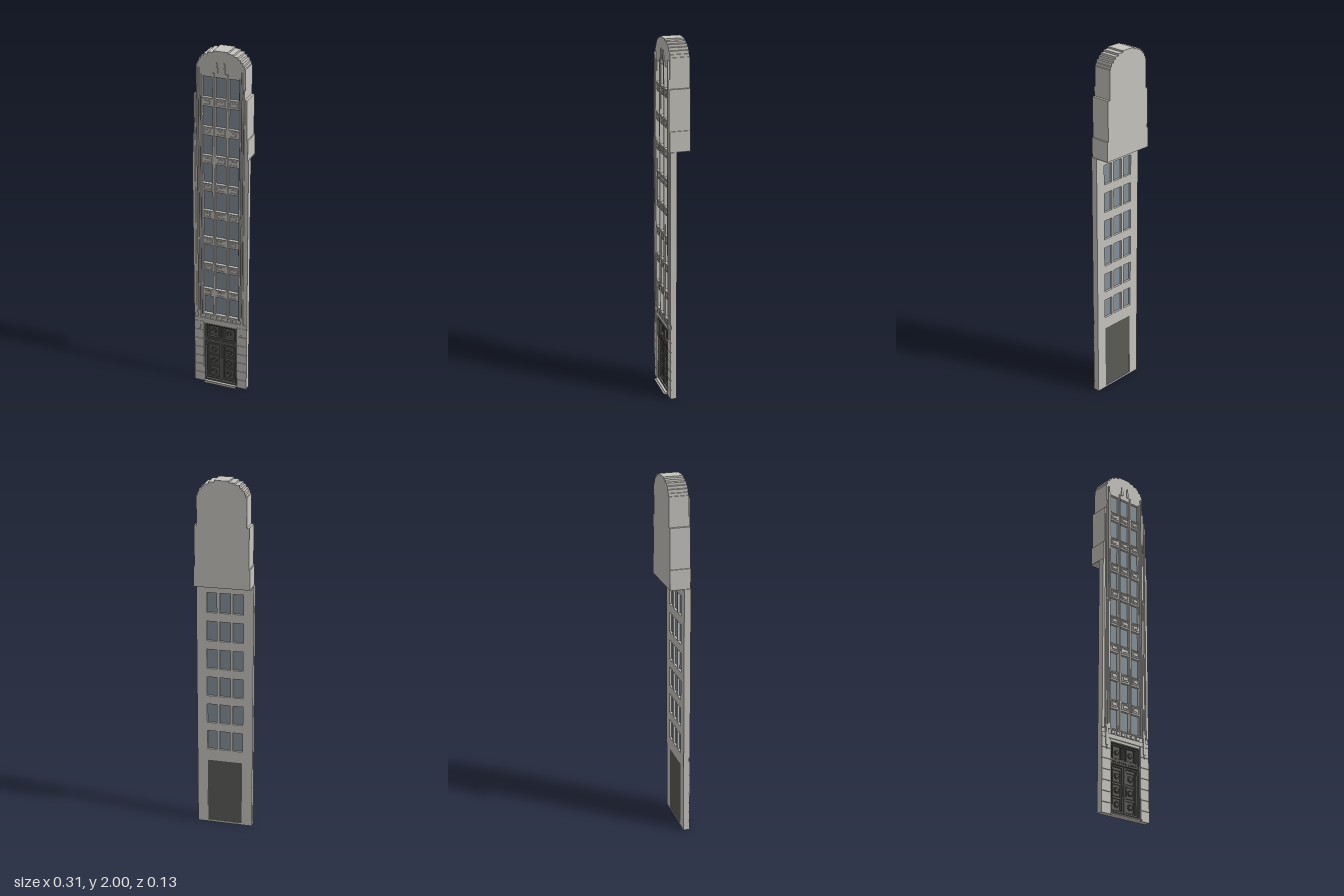
import * as THREE from 'three';

const stone = new THREE.MeshStandardMaterial({ color: 0xc6c4be });
stone.name = 'stone';
const glass = new THREE.MeshStandardMaterial({ color: 0x85919a });
glass.name = 'windowGlass';
const bronze = new THREE.MeshStandardMaterial({ color: 0x5a5c57 });
bronze.name = 'darkBronze';

// Half outline of the tower, from the shoulder to the crown: [half width, height]
const steps = [
  [0.157, 1.43], [0.152, 1.54], [0.146, 1.76], [0.133, 1.92], [0.127, 1.935], [0.12, 1.952],
  [0.107, 1.967], [0.093, 1.98], [0.07, 1.991], [0.04, 2.0],
];

function towerShape(bottom) {
  const right = [[0.157, bottom]];
  steps.forEach(([x, y], i) => {
    if (i > 0) right.push([x, steps[i - 1][1]]);
    right.push([x, y]);
  });
  const left = right.map(([x, y]) => [-x, y]).reverse();
  return new THREE.Shape([...right, ...left].map(([x, y]) => new THREE.Vector2(x, y)));
}

function rectHole(x, y, w, h) {
  const p = new THREE.Path();
  p.moveTo(x - w / 2, y - h / 2);
  p.lineTo(x - w / 2, y + h / 2);
  p.lineTo(x + w / 2, y + h / 2);
  p.lineTo(x + w / 2, y - h / 2);
  p.closePath();
  return p;
}

export function createModel() {
  const model = new THREE.Group();
  model.name = 'tower';

  const add = (name, geometry, material, x = 0, y = 0, z = 0) => {
    const mesh = new THREE.Mesh(geometry, material);
    mesh.name = name;
    mesh.position.set(x, y, z);
    model.add(mesh);
    return mesh;
  };
  // Box given by its limits
  const box = (name, mat, x0, x1, y0, y1, z0, z1) =>
    add(name, new THREE.BoxGeometry(x1 - x0, y1 - y0, z1 - z0), mat,
      (x0 + x1) / 2, (y0 + y1) / 2, (z0 + z1) / 2);
  const pair = (name, mat, x0, x1, ...rest) => {
    box(name, mat, x0, x1, ...rest);
    box(name, mat, -x1, -x0, ...rest);
  };
  // Rectangular frame in the xy plane
  const frame = (name, mat, x, y, w, h, t, z, d) => {
    const s = new THREE.Shape();
    s.moveTo(-w / 2, -h / 2);
    s.lineTo(w / 2, -h / 2);
    s.lineTo(w / 2, h / 2);
    s.lineTo(-w / 2, h / 2);
    s.closePath();
    s.holes.push(rectHole(0, 0, w - 2 * t, h - 2 * t));
    add(name, new THREE.ExtrudeGeometry(s, { depth: d, bevelEnabled: false }), mat, x, y, z);
  };

  const columns = [[-0.073, 0.056], [0, 0.06], [0.073, 0.056]];
  const rows = Array.from({ length: 9 }, (_, i) => 0.515 + i * 0.1612);
  const winH = 0.112;

  // Facade slab pierced by the windows and the entrance
  const facade = towerShape(0);
  for (const y of rows) for (const [x, w] of columns) facade.holes.push(rectHole(x, y, w, winH));
  facade.holes.push(rectHole(0, 0.2, 0.196, 0.38));
  add('facade', new THREE.ExtrudeGeometry(facade, { depth: 0.03, bevelEnabled: false }), stone, 0, 0, 0.01);

  // Deep stepped block behind the top floors
  add('upperBlock', new THREE.ExtrudeGeometry(towerShape(1.43), { depth: 0.075, bevelEnabled: false }),
    stone, 0, 0, -0.065);

  // Windows, sills and spandrel panels
  rows.forEach((y, i) => {
    for (const [x, w] of columns) {
      box('windowGlass', glass, x - w / 2, x + w / 2, y - winH / 2, y + winH / 2, 0.022, 0.026);
      box('windowSill', stone, x - w / 2, x + w / 2, y - winH / 2 - 0.006, y - winH / 2, 0.04, 0.045);
      if (i < 8) {
        frame('spandrelFrame', stone, x, y + 0.0806, w - 0.008, 0.032, 0.004, 0.04, 0.004);
        box('spandrelPanel', stone, x - 0.014, x + 0.014, y + 0.074, y + 0.087, 0.04, 0.044);
      }
    }
  });

  // Ribs between the windows, ending in small finials
  pair('mullionRib', stone, 0.033, 0.042, 0.455, 1.885, 0.04, 0.046);
  pair('finialBase', stone, 0.014, 0.026, 1.885, 1.915, 0.04, 0.046);
  pair('finialTip', stone, 0.017, 0.023, 1.915, 1.94, 0.04, 0.045);

  // Vertical pilasters at the sides, stepping up towards the crown
  pair('innerPilaster', stone, 0.104, 0.111, 0.45, 1.87, 0.04, 0.047);
  pair('middlePilaster', stone, 0.115, 0.121, 0.45, 1.905, 0.04, 0.05);
  pair('outerPilaster', stone, 0.125, 0.132, 0.45, 1.81, 0.04, 0.047);
  pair('edgePilasterLow', stone, 0.142, 0.157, 0.45, 1.43, 0.04, 0.046);
  pair('edgePilasterMiddle', stone, 0.142, 0.152, 1.43, 1.54, 0.04, 0.046);
  pair('edgePilasterHigh', stone, 0.138, 0.146, 1.54, 1.76, 0.04, 0.046);

  // Stone base laid in courses around the entrance
  for (let i = 0; i < 7; i++) {
    const y = i * 0.0575;
    pair('baseCourse', stone, 0.1, 0.157, y, y + 0.0555, 0.04, 0.046);
  }
  box('baseBand', stone, -0.157, 0.157, 0.402, 0.426, 0.04, 0.046);
  for (let i = 0; i < 6; i++) {
    const x = -0.0825 + i * 0.033;
    box('dentil', stone, x - 0.01, x + 0.01, 0.43, 0.448, 0.04, 0.047);
  }

  // Hanging ornaments on both sides of the base
  for (const s of [-1, 1]) {
    const x = s * 0.126;
    box('pendantCap', stone, x - 0.01, x + 0.01, 0.456, 0.472, 0.04, 0.05);
    box('pendantBody', stone, x - 0.007, x + 0.007, 0.36, 0.456, 0.04, 0.05);
    const tip = add('pendantTip', new THREE.ConeGeometry(0.007, 0.03, 4), stone, x, 0.345, 0.045);
    tip.rotation.x = Math.PI;
    tip.scale.z = 0.7;
  }

  // Entrance: backing, surround and lintel
  box('entranceBack', bronze, -0.098, 0.098, 0.01, 0.39, 0.012, 0.022);
  frame('entranceSurround', bronze, 0, 0.2, 0.196, 0.38, 0.008, 0.022, 0.02);
  box('entranceLintel', bronze, -0.09, 0.09, 0.272, 0.298, 0.022, 0.038);
  for (let i = 0; i < 12; i++) {
    const x = -0.077 + i * 0.014;
    box('lintelStud', bronze, x - 0.004, x + 0.004, 0.281, 0.289, 0.038, 0.041);
  }

  // Transom panels and double doors with raised ornaments
  const medallion = (x, y, r) => {
    const m = add('medallion', new THREE.CylinderGeometry(r, r, 0.005, 8), bronze, x, y, 0.027);
    m.rotation.x = Math.PI / 2;
    add('medallionRing', new THREE.TorusGeometry(r * 1.4, 0.002, 4, 12), bronze, x, y, 0.025);
  };
  for (const s of [-1, 1]) {
    const x = s * 0.045;
    frame('transomFrame', bronze, x, 0.34, 0.084, 0.08, 0.006, 0.022, 0.012);
    medallion(x, 0.34, 0.01);
    for (const dx of [-0.027, 0.027]) box('transomBar', bronze, x + dx - 0.002, x + dx + 0.002, 0.306, 0.374, 0.022, 0.028);
    frame('doorFrame', bronze, x, 0.145, 0.082, 0.248, 0.008, 0.022, 0.01);
    for (const y of [0.065, 0.14, 0.215]) {
      frame('doorPanel', bronze, x, y, 0.056, 0.066, 0.004, 0.022, 0.005);
      medallion(x, y, 0.011);
    }
    box('doorHandle', bronze, s * 0.012 - 0.002, s * 0.012 + 0.002, 0.115, 0.165, 0.03, 0.037);
  }
  box('doorPost', bronze, -0.004, 0.004, 0.02, 0.272, 0.022, 0.036);

  // Two low entrance steps
  box('upperStep', stone, -0.095, 0.095, 0, 0.01, 0.04, 0.056);
  box('lowerStep', stone, -0.095, 0.095, 0, 0.005, 0.056, 0.065);

  return model;
}
